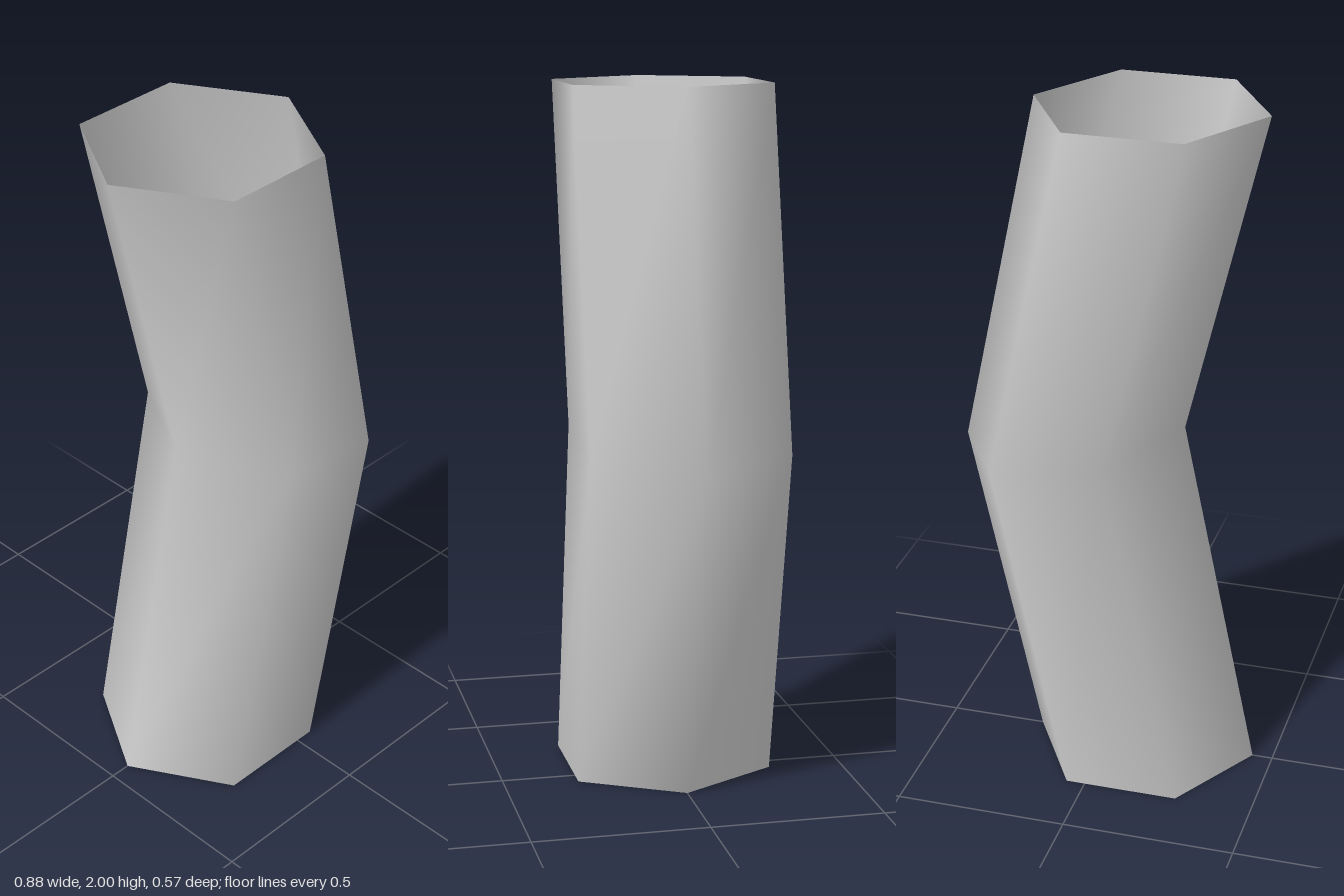
import * as THREE from 'three';
import { mergeVertices } from 'three/addons/utils/BufferGeometryUtils.js';

export function createModel() {
  const group = new THREE.Group();
  group.name = 'bentPipe';

  // open six-sided tube with three rings: top, bend and bottom
  let geometry = new THREE.CylinderGeometry(0.33, 0.33, 2, 6, 2, true, Math.PI / 2);
  const pos = geometry.attributes.position;
  for (let i = 0; i < pos.count; i++) {
    const x = pos.getX(i), y = pos.getY(i);
    const atBend = Math.abs(y) < 0.5;
    // the bend ring sits to the left and tilts; the end rings stay level
    pos.setX(i, atBend ? x * 0.99 + 0.11 : x - 0.11);
    pos.setY(i, atBend ? 1.01 - 0.155 * x : y + 1);
  }

  // weld the seam for smooth normals all the way round
  geometry.deleteAttribute('uv');
  geometry.deleteAttribute('normal');
  geometry = mergeVertices(geometry);
  geometry.computeVertexNormals();

  const material = new THREE.MeshStandardMaterial({ color: 0xcccccc, side: THREE.DoubleSide });
  const wall = new THREE.Mesh(geometry, material);
  wall.name = 'pipeWall';
  group.add(wall);
  return group;
}
